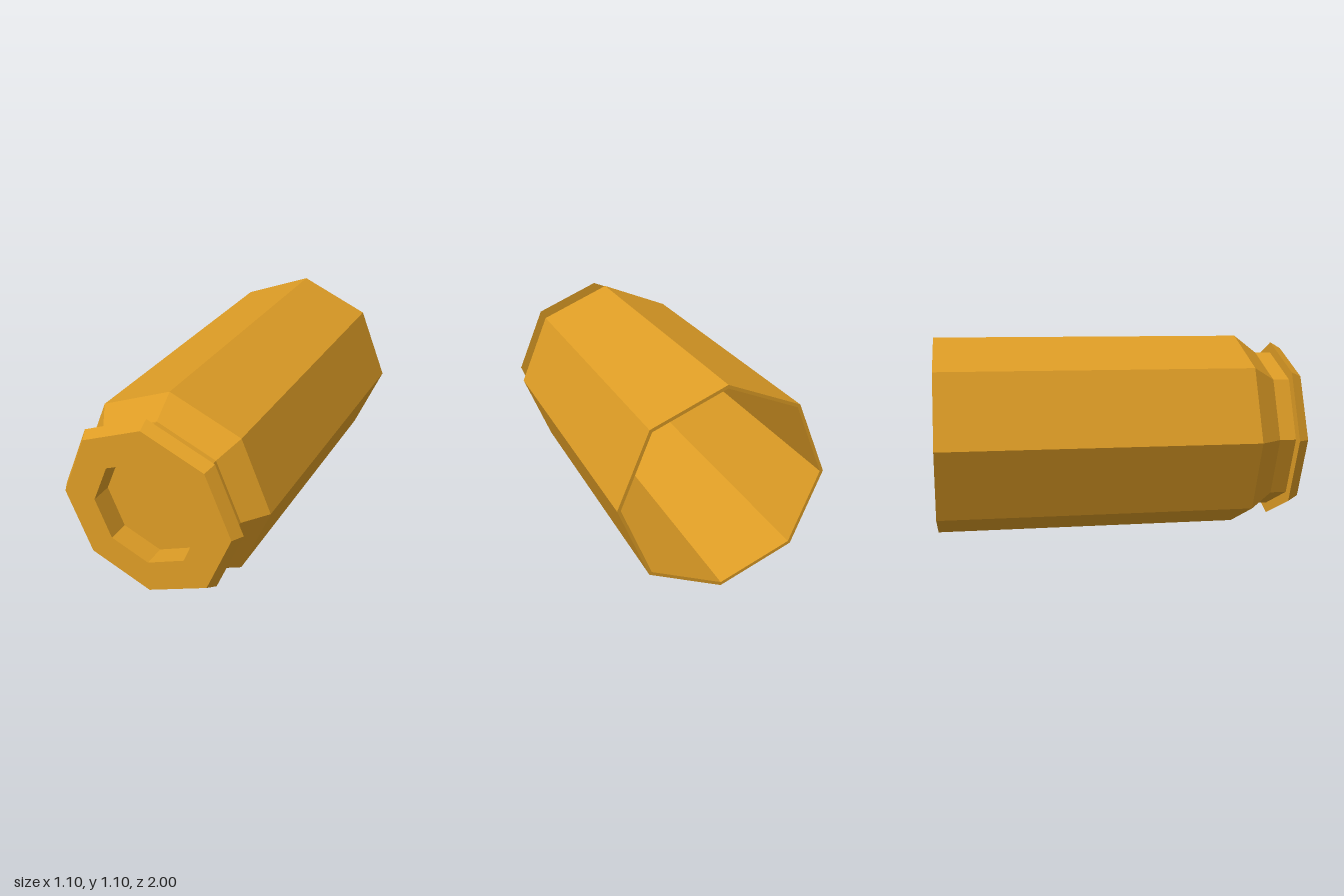
import * as THREE from 'three';

const SIDES = 8;
const CENTRE_Y = 0.55;

// Eight-sided faceted ring around the z axis from [radius, z] points.
function turned(name, profile, material) {
  const points = profile.map(([r, z]) => new THREE.Vector2(r, z));
  const geometry = new THREE.LatheGeometry(points, SIDES).rotateX(Math.PI / 2).toNonIndexed();
  geometry.computeVertexNormals(); // flat facets
  const mesh = new THREE.Mesh(geometry, material);
  mesh.name = name;
  mesh.position.y = CENTRE_Y;
  return mesh;
}

export function createModel() {
  const brass = new THREE.MeshStandardMaterial({ color: 0xdd9c25 });
  brass.name = 'brass';

  const group = new THREE.Group();
  group.name = 'emptyCasing';
  group.add(
    // Hollow inside, closed near the head
    turned('innerWall', [[0, 0.84], [0.43, 0.84], [0.532, 0.71], [0.532, -1]], brass),
    // Thin lip around the open mouth
    turned('mouthLip', [[0.532, -1], [0.55, -1]], brass),
    // Long body, tapering into the groove
    turned('outerBody', [[0.55, -1], [0.55, 0.72], [0.45, 0.85]], brass),
    turned('extractorGroove', [[0.45, 0.85], [0.45, 0.94]], brass),
    // Bevelled rim with the flat head
    turned('rim', [[0.45, 0.94], [0.51, 0.94], [0.475, 1], [0.297, 1]], brass),
    // Recess in the middle of the head
    turned('primerPocket', [[0.297, 1], [0.297, 0.88], [0, 0.88]], brass),
  );
  return group;
}
